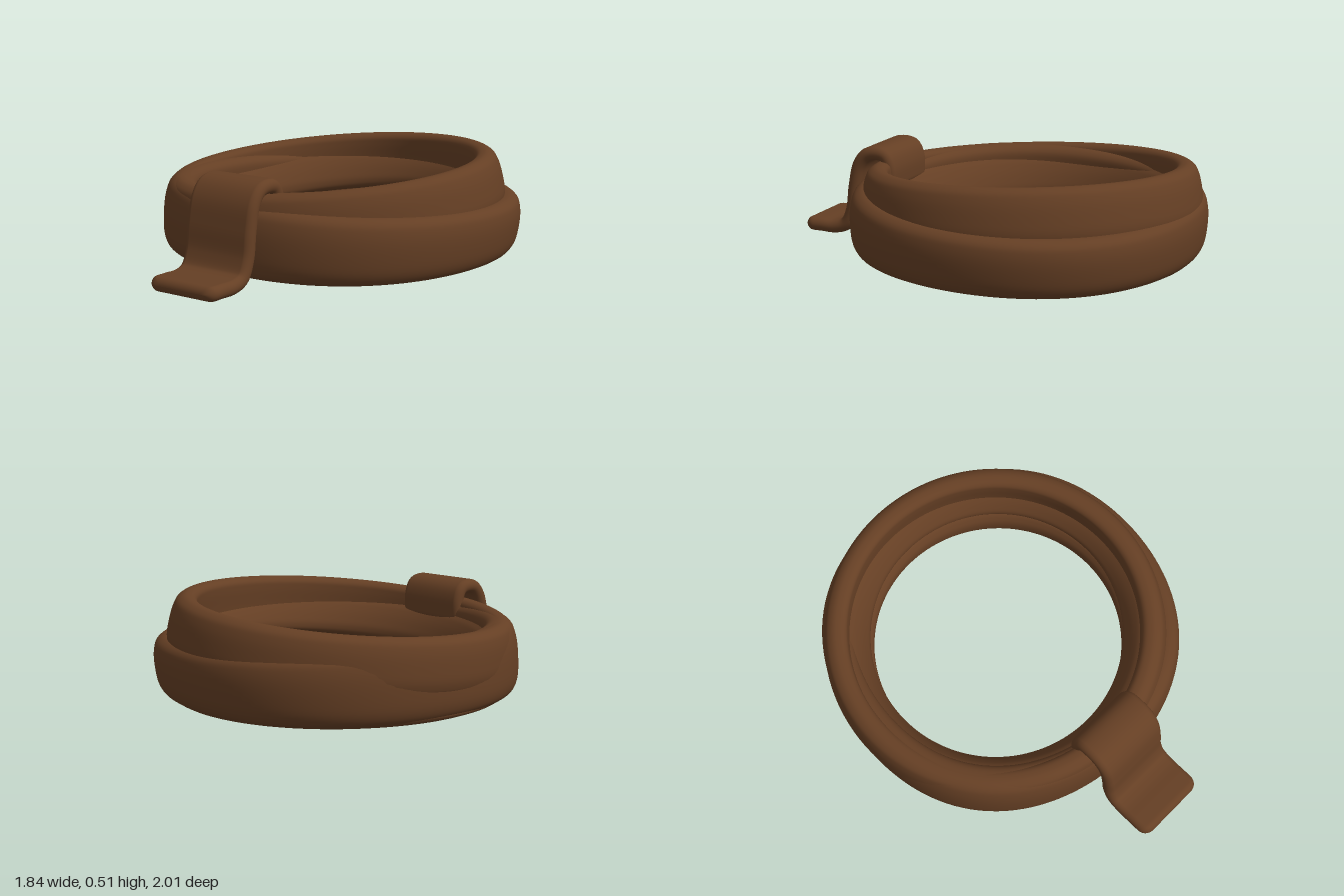
import * as THREE from 'three';

const leather = new THREE.MeshStandardMaterial({ color: 0x653f24 });
leather.name = 'brown leather';

// Smooth surface from a loop of cross-sections; point(i, j) returns [x, y, z]
function loft(name, rows, cols, closed, point) {
  const pos = [], index = [];
  for (let i = 0; i < rows; i++) for (let j = 0; j < cols; j++) pos.push(...point(i, j));
  for (let i = 0; i < (closed ? rows : rows - 1); i++) {
    const n = (i + 1) % rows;
    for (let j = 0; j < cols; j++) {
      const k = (j + 1) % cols;
      const a = i * cols + j, b = n * cols + j, c = i * cols + k, d = n * cols + k;
      index.push(a, c, b, b, c, d);
    }
  }
  const geo = new THREE.BufferGeometry();
  geo.setAttribute('position', new THREE.Float32BufferAttribute(pos, 3));
  geo.setIndex(index);
  geo.computeVertexNormals();
  const mesh = new THREE.Mesh(geo, leather);
  mesh.name = name;
  return mesh;
}

// Band swept round a circle: profile is [radius, height fraction], counter-clockwise;
// squash pulls the diagonals in a little
function band(name, profile, { cx, cz, bottom, top, lean = 0, pivot = 0, squash = 0 }) {
  const curve = new THREE.CatmullRomCurve3(
    profile.map(([r, t]) => new THREE.Vector3(r, t, 0)), true, 'centripetal');
  const cols = 64, rows = 128;
  const pts = Array.from({ length: cols }, (_, j) => curve.getPoint(j / cols));
  return loft(name, rows, cols, true, (i, j) => {
    const a = (i / rows) * Math.PI * 2, p = pts[j];
    const r = p.x * (1 - squash * Math.sin(2 * a) ** 2);
    const x = r * Math.cos(a);
    const y = THREE.MathUtils.lerp(bottom(x), top(x), p.y);
    return [cx + x + lean * (y - pivot), y, cz + r * Math.sin(a)];
  });
}

// Flat strap with rounded ends following a path of [outward distance, height]
function strap(name, path, origin, dir, halfWidth, halfThick, corner) {
  const curve = new THREE.CatmullRomCurve3(
    path.map(([s, y]) => new THREE.Vector3(s, y, 0)), false, 'centripetal');
  curve.arcLengthDivisions = 400;
  const length = curve.getLength(), rows = 90, cols = 32;
  return loft(name, rows, cols, false, (i, j) => {
    const u = 0.5 - 0.5 * Math.cos((Math.PI * i) / (rows - 1));
    const p = curve.getPointAt(u), t = curve.getTangentAt(u);
    const end = Math.min(u, 1 - u) * length;
    const k = Math.max(0, corner - end);
    const w = halfWidth - corner + Math.sqrt(corner * corner - k * k);
    const h = halfThick * Math.sqrt(1 - Math.max(0, 1 - end / halfThick) ** 2);
    const a = ((j + 0.5) / cols) * Math.PI * 2, c = Math.cos(a);
    const across = Math.sign(c) * (w - halfThick) + halfThick * c;
    const off = h * Math.sin(a);
    const s = p.x - t.y * off, y = p.y + t.x * off;
    return [
      origin[0] + dir[0] * s + dir[1] * across, y,
      origin[1] + dir[1] * s - dir[0] * across,
    ];
  });
}

export function createModel() {
  const group = new THREE.Group();
  group.name = 'wrapped bracelet';

  // Wide lower loop, taller on the clasp side
  group.add(band('lowerBand', [
    [0.755, 0.05], [0.78, 0], [0.82, 0.01], [0.872, 0.06], [0.902, 0.17], [0.918, 0.45],
    [0.913, 0.78], [0.89, 0.94], [0.85, 1], [0.80, 0.99], [0.765, 0.92], [0.755, 0.75],
    [0.75, 0.5], [0.75, 0.2],
  ], {
    cx: 0, cz: -0.085, lean: 0.09, pivot: 0.15, squash: 0.025,
    bottom: (x) => 0.008 - 0.008 * x, top: (x) => 0.343 - 0.055 * x,
  }));

  // Wedge-shaped lip along the inside of the lower loop
  group.add(band('lowerLip', [
    [0.70, 0.05], [0.75, 0], [0.81, 0.02], [0.81, 0.98], [0.74, 1], [0.69, 0.95],
    [0.658, 0.78], [0.648, 0.5], [0.662, 0.2],
  ], {
    cx: 0, cz: -0.1,
    bottom: (x) => 0.008 - 0.008 * x, top: (x) => 0.135 + 0.1 * x,
  }));

  // Inner loop resting on the lip, with a sloping shoulder
  group.add(band('innerBand', [
    [0.70, 0.03], [0.75, 0], [0.81, 0.1], [0.82, 0.5], [0.81, 0.95], [0.76, 1],
    [0.73, 0.93], [0.70, 0.78], [0.67, 0.55], [0.652, 0.32], [0.662, 0.12],
  ], {
    cx: 0, cz: -0.105,
    bottom: (x) => 0.145 + 0.1 * x, top: (x) => 0.35 + 0.04 * x,
  }));

  // Narrower upper loop, tilted the other way
  group.add(band('upperBand', [
    [0.76, 0.02], [0.80, 0], [0.85, 0.04], [0.872, 0.2], [0.869, 0.5], [0.852, 0.8],
    [0.83, 0.94], [0.795, 1], [0.765, 0.99], [0.742, 0.93], [0.735, 0.8], [0.735, 0.5],
    [0.735, 0.2], [0.74, 0.07],
  ], {
    cx: -0.03, cz: -0.107, lean: -0.1, pivot: 0.3,
    bottom: (x) => 0.18 + 0.075 * x, top: (x) => 0.452 + 0.08 * x,
  }));

  // Strap folded over the loops, ending in a flat tab
  group.add(strap('foldedStrap', [
    [0.035, 0.28], [0.035, 0.4], [0.06, 0.455], [0.11, 0.468], [0.17, 0.455],
    [0.215, 0.4], [0.245, 0.28], [0.265, 0.15], [0.305, 0.07], [0.37, 0.046],
    [0.46, 0.046], [0.552, 0.046],
  ], [-0.425, 0.465], [-0.588, 0.809], 0.195, 0.036, 0.055));

  return group;
}
